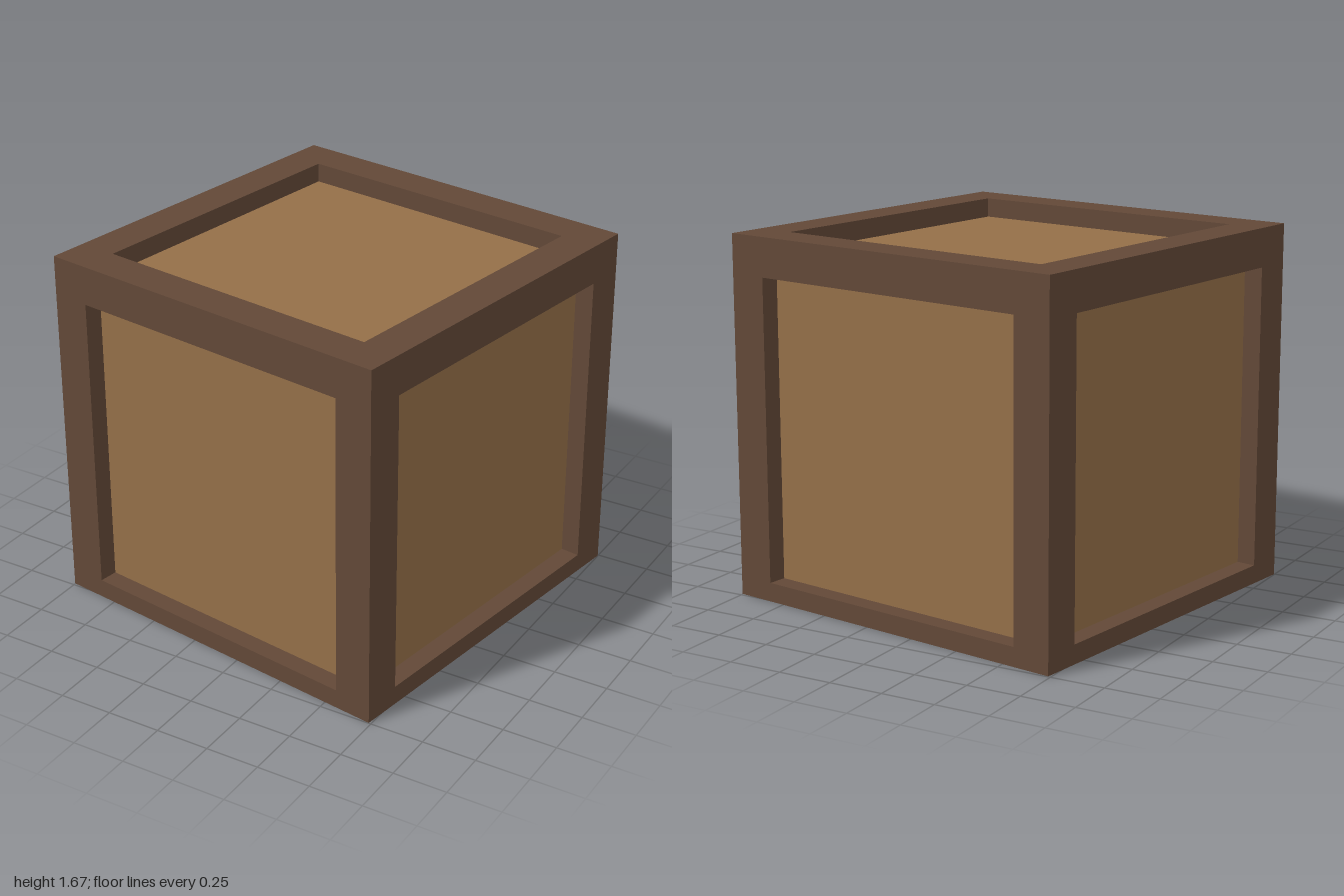
import * as THREE from 'three';

const SIZE = 1.76;      // width and depth of the crate
const HEIGHT = 1.67;
const BAR = 0.18;       // frame bar thickness
const RECESS = 0.09;    // how far the panels sit behind the frame
const BASE = 0.002;     // frame sits a hair above the flush floor panel

export function createModel() {
  const frameWood = new THREE.MeshStandardMaterial({ color: 0x624837 });
  frameWood.name = 'dark frame wood';
  const panelWood = new THREE.MeshStandardMaterial({ color: 0x946f48 });
  panelWood.name = 'light panel wood';

  const crate = new THREE.Group();
  crate.name = 'crate';

  // Box spanning y0..y1, centred on x, z
  const box = (parent, name, material, w, d, y0, y1, x = 0, z = 0) => {
    const mesh = new THREE.Mesh(new THREE.BoxGeometry(w, y1 - y0, d), material);
    mesh.name = name;
    mesh.position.set(x, (y0 + y1) / 2, z);
    parent.add(mesh);
  };

  // Inner box: recessed on the sides and top, flush underneath
  const inner = SIZE - 2 * RECESS;
  box(crate, 'panels', panelWood, inner, inner, 0, HEIGHT - RECESS);

  const frame = new THREE.Group();
  frame.name = 'frame';
  crate.add(frame);
  const off = (SIZE - BAR) / 2;
  const span = SIZE - 2 * BAR;

  for (const a of [-1, 1]) {
    // Corner posts
    for (const b of [-1, 1]) {
      box(frame, 'cornerPost', frameWood, BAR, BAR, BASE, HEIGHT, a * off, b * off);
    }
    // Thick top rails and thin bottom rails between the posts
    for (const [name, y0, y1] of [['topRail', HEIGHT - BAR, HEIGHT], ['bottomRail', BASE, RECESS]]) {
      box(frame, name, frameWood, span, BAR, y0, y1, 0, a * off);
      box(frame, name, frameWood, BAR, span, y0, y1, a * off, 0);
    }
  }

  // The crate stands slightly turned
  crate.rotation.y = -Math.atan2(0.26, 1.74);

  const model = new THREE.Group();
  model.name = 'woodenCrate';
  model.add(crate);
  return model;
}
